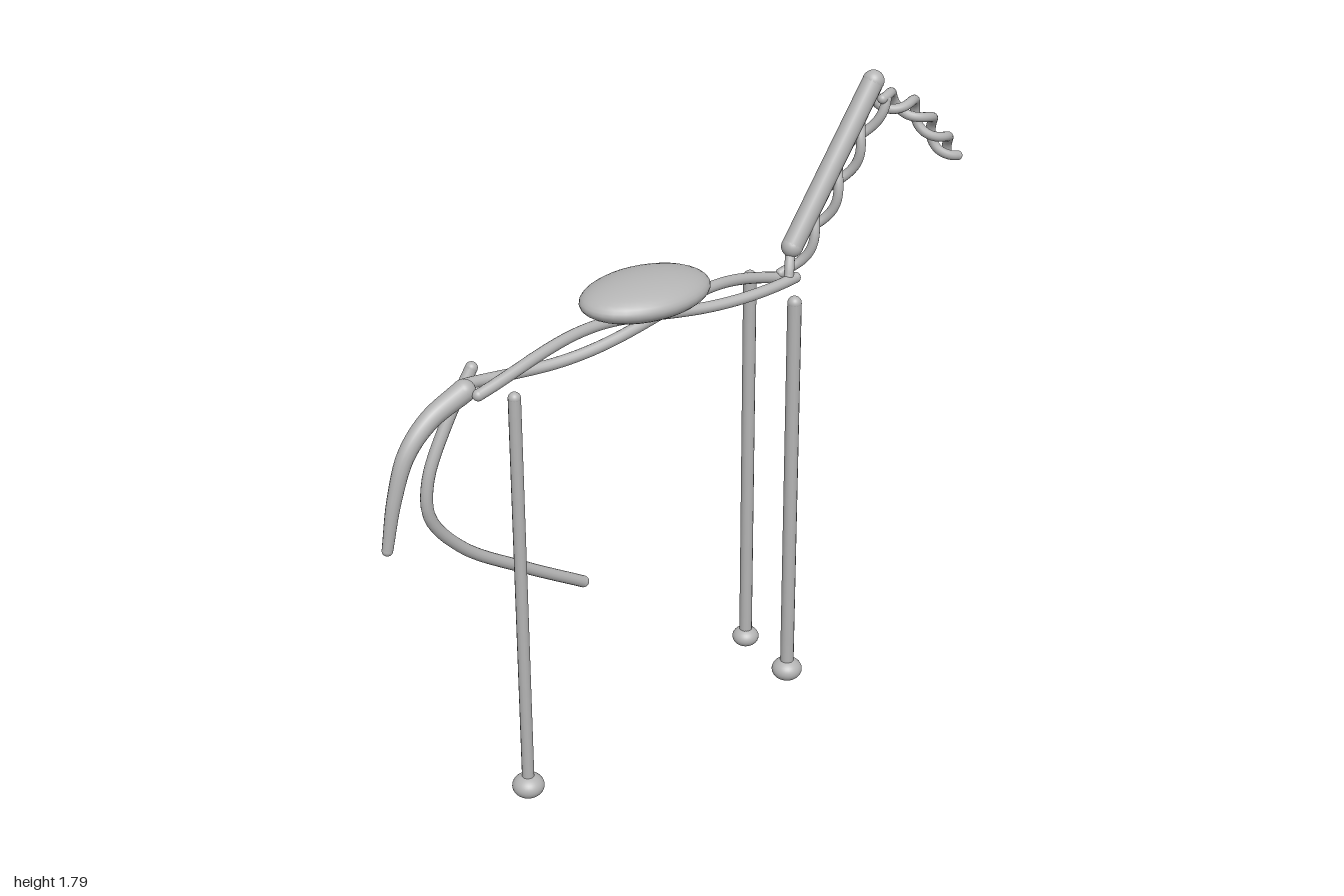
import * as THREE from 'three';

const grey = new THREE.MeshStandardMaterial({ color: 0xb4b4b4 });
grey.name = 'warm grey';
const V = (x, y, z = 0) => new THREE.Vector3(x, y, z);

export function createModel() {
  const model = new THREE.Group();
  model.name = 'wireHorse';

  function add(name, geometry, parent = model) {
    const mesh = new THREE.Mesh(geometry, grey);
    mesh.name = name;
    parent.add(mesh);
    return mesh;
  }

  function ellipsoid(name, centre, rx, ry, rz, parent = model) {
    const mesh = add(name, new THREE.SphereGeometry(1, 32, 20), parent);
    mesh.position.copy(centre);
    mesh.scale.set(rx, ry, rz);
  }

  // Round rod along a curve, tapering from r0 to r1, with rounded ends
  function rod(name, curve, r0, r1 = r0, segments = 40) {
    const group = new THREE.Group();
    group.name = name;
    const sides = 14;
    const geo = new THREE.TubeGeometry(curve, segments, 1, sides, false);
    const pos = geo.attributes.position;
    const p = V(0, 0);
    for (let i = 0; i <= segments; i++) {
      const t = i / segments;
      const c = curve.getPointAt(t);
      for (let j = 0; j <= sides; j++) {
        const k = i * (sides + 1) + j;
        p.fromBufferAttribute(pos, k).sub(c).multiplyScalar(r0 + (r1 - r0) * t).add(c);
        pos.setXYZ(k, p.x, p.y, p.z);
      }
    }
    add(name + 'Shaft', geo, group);
    ellipsoid(name + 'Start', curve.getPointAt(0), r0, r0, r0, group);
    ellipsoid(name + 'End', curve.getPointAt(1), r1, r1, r1, group);
    model.add(group);
  }

  // Two strands wound around a centre line lying in the x-y plane
  function twist(name, points, turns, amp, radius, phase) {
    const path = new THREE.CatmullRomCurve3(points);
    for (let s = 0; s < 2; s++) {
      const strand = [];
      const n = 40;
      for (let i = 0; i <= n; i++) {
        const t = i / n;
        const a = phase + s * Math.PI + t * turns * Math.PI * 2;
        const tan = path.getTangentAt(t);
        const c = path.getPointAt(t);
        const up = Math.sin(a) * amp;
        strand.push(V(c.x - tan.y * up, c.y + tan.x * up, Math.cos(a) * amp));
      }
      rod(name + 'Strand' + (s + 1), new THREE.CatmullRomCurve3(strand), radius, radius, 90);
    }
  }

  // Twisted back, neck and head
  twist('back', [V(-0.72, 1.237), V(-0.5, 1.255), V(-0.2, 1.277), V(0.1, 1.275), V(0.355, 1.257)],
    1.08, 0.028, 0.016, -0.2);
  twist('neck', [V(0.34, 1.27), V(0.43, 1.37), V(0.55, 1.53), V(0.64, 1.66), V(0.69, 1.71)],
    2, 0.025, 0.014, 0.3);
  twist('head', [V(0.67, 1.72), V(0.75, 1.685), V(0.82, 1.65), V(0.9, 1.565), V(0.98, 1.48)],
    2, 0.023, 0.014, 0);

  // Mane bar and saddle
  rod('mane', new THREE.LineCurve3(V(0.366, 1.348), V(0.655, 1.77)), 0.031, 0.031, 2);
  ellipsoid('saddle', V(-0.155, 1.35), 0.198, 0.055, 0.135);

  // Standing legs with flattened ball hooves: x, z, leg radius, hoof radius
  for (const [name, x, z, r, hoof] of [
    ['frontLeftLeg', 0.285, 0.106, 0.02, 0.045],
    ['frontRightLeg', 0.308, -0.112, 0.019, 0.04],
    ['backLeftLeg', -0.662, 0.106, 0.017, 0.045],
  ]) {
    rod(name, new THREE.LineCurve3(V(x, 0.04, z), V(x, 1.235, z)), r, r, 2);
    ellipsoid(name + 'Hoof', V(x, 0.042, z), hoof, hoof * 0.75, hoof);
  }

  // Raised hind leg, bent forward under the body
  rod('raisedLeg', new THREE.CatmullRomCurve3([
    V(-0.645, 1.235, -0.112), V(-0.73, 1.1, -0.112), V(-0.797, 0.95, -0.112), V(-0.797, 0.84, -0.112),
    V(-0.7, 0.715, -0.112), V(-0.5, 0.58, -0.112), V(-0.3, 0.46, -0.112),
  ]), 0.017);

  // Tapered tail
  rod('tail', new THREE.CatmullRomCurve3([
    V(-0.74, 1.237, -0.007), V(-0.85, 1.185, -0.008), V(-0.92, 1.11, -0.01),
    V(-0.96, 0.99, -0.017), V(-0.984, 0.845, -0.027),
  ]), 0.031, 0.015);

  return model;
}
